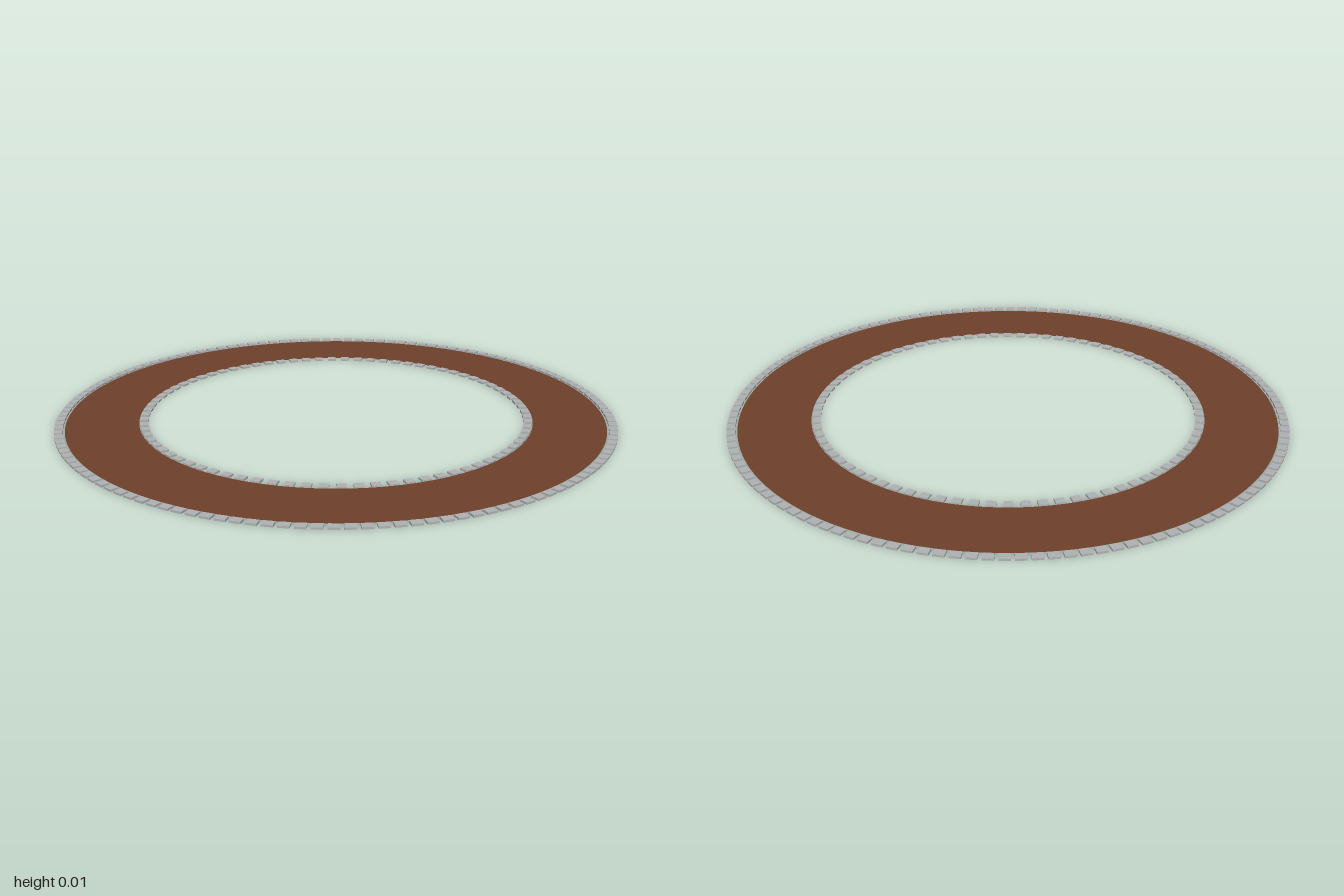
import * as THREE from 'three';

// Flat circular path bordered by two rings of small stones
export function createModel() {
  const model = new THREE.Group();
  model.name = 'circularPath';

  const earth = new THREE.MeshStandardMaterial({ color: 0x6f402b, side: THREE.DoubleSide });
  earth.name = 'brownEarth';
  const stone = new THREE.MeshStandardMaterial({ color: 0xb0b2b4 });
  stone.name = 'greyStone';

  // Path surface
  const path = new THREE.Mesh(new THREE.RingGeometry(0.706, 0.963, 128).rotateX(-Math.PI / 2), earth);
  path.name = 'path';
  path.position.y = 0.003;
  model.add(path);

  // Evenly spaced kerb stones, each turned to face the centre
  function kerb(name, count, radius, depth, width, height) {
    const group = new THREE.Group();
    group.name = name;
    const geometry = new THREE.BoxGeometry(depth, height, width);
    for (let i = 0; i < count; i++) {
      const angle = (i / count) * Math.PI * 2;
      const block = new THREE.Mesh(geometry, stone);
      block.name = 'kerbStone';
      block.position.set(Math.cos(angle) * radius, height / 2, -Math.sin(angle) * radius);
      block.rotation.y = angle;
      group.add(block);
    }
    model.add(group);
  }
  kerb('outerKerb', 130, 0.985, 0.03, 0.036, 0.007);
  kerb('innerKerb', 80, 0.688, 0.03, 0.032, 0.007);

  return model;
}
